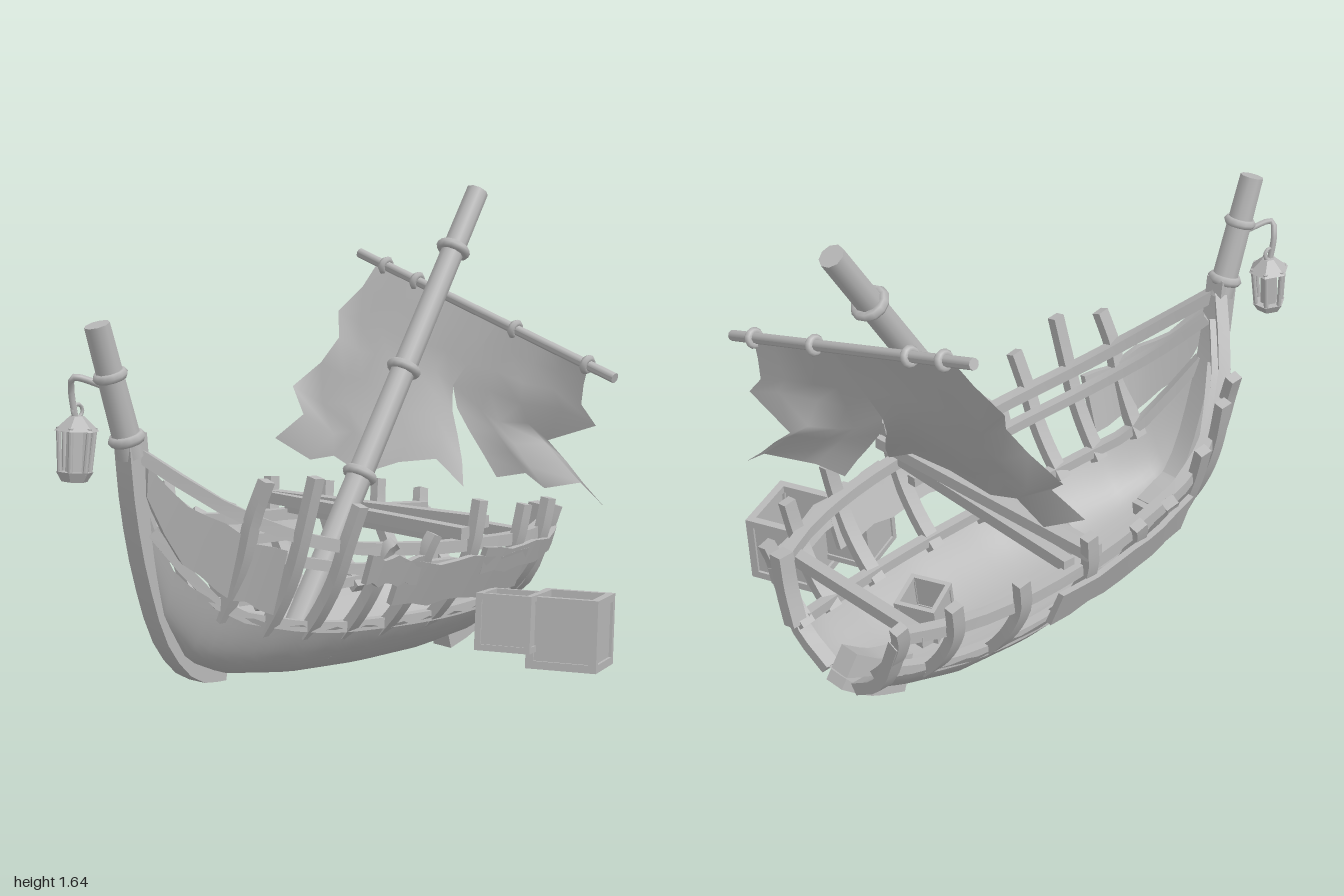
import * as THREE from 'three';
import { toCreasedNormals } from 'three/addons/utils/BufferGeometryUtils.js';

const V = (x, y, z) => new THREE.Vector3(x, y, z);
const lerp = THREE.MathUtils.lerp;
const MID = -0.145; // z of the boat's centreline

// Hull stations: x, keel height, rail height, half width
const STATIONS = [
  [-0.79, 0.76, 0.88, 0.015], [-0.75, 0.52, 0.83, 0.05], [-0.7, 0.34, 0.78, 0.11], [-0.6, 0.19, 0.7, 0.21],
  [-0.45, 0.125, 0.61, 0.31], [-0.2, 0.085, 0.54, 0.395], [0.1, 0.065, 0.5, 0.435], [0.4, 0.06, 0.48, 0.44],
  [0.65, 0.075, 0.46, 0.41], [0.85, 0.12, 0.45, 0.34], [0.98, 0.18, 0.45, 0.26],
];

// Point on the hull: h runs 0 at the keel to 1 at the rail
function hull(x, h, side, off = 0) {
  let i = 0;
  while (i < STATIONS.length - 2 && x > STATIONS[i + 1][0]) i++;
  const a = STATIONS[i], b = STATIONS[i + 1], t = (x - a[0]) / (b[0] - a[0]);
  const [k, r, w] = [1, 2, 3].map((j) => lerp(a[j], b[j], t));
  const ang = (h * Math.PI) / 2;
  return V(x, k + (r - k) * h ** 1.75 - off * Math.cos(ang), MID + side * (w * h ** 0.625 + off * Math.sin(ang)));
}

// Open surface from a rule
function grid(nu, nv, fn) {
  const pos = [], idx = [];
  for (let i = 0; i <= nu; i++) for (let j = 0; j <= nv; j++) pos.push(...fn(i / nu, j / nv, i, j).toArray());
  for (let i = 0; i < nu; i++) for (let j = 0; j < nv; j++) {
    const a = i * (nv + 1) + j, b = a + nv + 1;
    idx.push(a, a + 1, b, b, a + 1, b + 1);
  }
  const g = new THREE.BufferGeometry();
  g.setAttribute('position', new THREE.Float32BufferAttribute(pos, 3));
  g.setIndex(idx);
  g.computeVertexNormals();
  return g;
}

// Closed solid through four-cornered rings
function loft(rings) {
  const pts = rings.flat(), idx = [], n = rings.length;
  for (let i = 0; i < n - 1; i++) for (let j = 0; j < 4; j++) {
    const a = i * 4 + j, b = i * 4 + ((j + 1) % 4);
    idx.push(a, b, a + 4, b, b + 4, a + 4);
  }
  const e = (n - 1) * 4;
  idx.push(0, 2, 1, 0, 3, 2, e, e + 1, e + 2, e, e + 2, e + 3);
  let vol = 0;
  for (let i = 0; i < idx.length; i += 3) {
    const [a, b, c] = [0, 1, 2].map((k) => pts[idx[i + k]].clone().sub(pts[0]));
    vol += a.dot(b.cross(c));
  }
  if (vol < 0) idx.reverse();
  const g = new THREE.BufferGeometry().setFromPoints(pts);
  g.setIndex(idx);
  return toCreasedNormals(g, 0.7);
}

// Timber along a path: w is the size along ref, d across it
function timber(points, w, d, ref = V(0, 1, 0), taper = 1) {
  const curve = new THREE.CatmullRomCurve3(points), n = points.length > 2 ? points.length * 2 : 1;
  const rings = [];
  for (let i = 0; i <= n; i++) {
    const p = curve.getPoint(i / n), t = curve.getTangent(i / n);
    const s = ref.clone().addScaledVector(t, -t.dot(ref)).normalize(), m = t.clone().cross(s);
    const k = lerp(1, taper, i / n) / 2;
    rings.push([[1, 1], [-1, 1], [-1, -1], [1, -1]].map(([u, v]) =>
      p.clone().addScaledVector(s, u * w * k).addScaledVector(m, v * d * k)));
  }
  return loft(rings);
}

// Plank lying on the hull with a worn outline
function plank(side, x0, x1, h0, h1, off) {
  const rings = [], n = 8;
  for (let i = 0; i <= n; i++) {
    const x = lerp(x0, x1, i / n), a = h0 + 0.012 * Math.sin(i * 2.3), b = h1 + 0.012 * Math.sin(i * 1.7 + 1);
    rings.push([hull(x, a, side, off), hull(x, b, side, off), hull(x, b, side, off + 0.022), hull(x, a, side, off + 0.022)]);
  }
  return loft(rings);
}

function orient(mesh, a, b) {
  mesh.quaternion.setFromUnitVectors(V(0, 1, 0), b.clone().sub(a).normalize());
  return mesh;
}

export function createModel() {
  const wood = new THREE.MeshStandardMaterial({ color: 0xb8b8b8, side: THREE.DoubleSide });
  wood.name = 'plain grey';
  const boat = new THREE.Group();
  boat.name = 'wreckedBoat';
  const add = (name, geo, parent = boat) => {
    const m = new THREE.Mesh(geo, wood);
    m.name = name;
    parent.add(m);
    return m;
  };
  const rod = (name, a, b, r0, r1 = r0, parent = boat) => {
    const m = add(name, toCreasedNormals(new THREE.CylinderGeometry(r1, r0, a.distanceTo(b), 9), 0.9), parent);
    m.position.copy(a).lerp(b, 0.5);
    return orient(m, a, b);
  };
  const ropeRing = (name, a, b, t, r, tube) => {
    const m = add(name, new THREE.TorusGeometry(r, tube, 6, 12).rotateX(Math.PI / 2));
    m.position.copy(a).lerp(b, t);
    return orient(m, a, b);
  };

  // Lower hull skin with a broken upper edge, a little higher on the far side
  add('hullSkin', grid(40, 20, (u, v, i) => {
    const x = lerp(-0.785, 0.95, u), s = v * 2 - 1;
    const edge = (s < 0 ? 0.63 : 0.58) + 0.02 * Math.sin(i * 1.9) - 0.3 * Math.max(0, u - 0.8);
    return hull(x, Math.abs(s) * edge, Math.sign(s) || 1);
  }));

  // Rails, stringers, ribs and remaining planks on both sides
  const along = (x0, x1, h, side, off) => Array.from({ length: 10 }, (_, i) => hull(lerp(x0, x1, i / 9), h, side, off));
  const ribs = [[-0.55, 0.1], [-0.41, 0.17], [-0.26, 0.11], [-0.1, 0], [0.07, 0.03],
    [0.3, 0.13], [0.57, 0.1], [0.79, 0.1], [0.94, 0.05]];
  for (const side of [1, -1]) {
    add('rail', timber(along(-0.78, 0.95, 1, side, -0.01), 0.04, 0.04));
    add('innerRail', timber(along(-0.75, 0.3, 0.9, side, -0.03), 0.035, 0.035));
    add('stringer', timber(along(-0.74, 0.93, 0.57, side, -0.02), 0.035, 0.035));
    ribs.forEach(([x, rise], i) => {
      const pts = [[0.5, -0.02], [0.68, -0.005], [0.85, 0.01], [1, 0.015]].map(([h, off]) => hull(x - 0.02 + 0.03 * h, h, side, off));
      const end = pts[3].clone().add(V(0.02, rise * (side > 0 ? 1 : 0.85) + 0.02, side * (i < 3 ? 0.04 : 0.015)));
      add('rib' + (i + 1), timber([...pts, end], 0.05, 0.038, V(1, 0, 0), 0.9));
    });
    add('bowPlank', plank(side, -0.77, -0.44, 0.66, 0.93, -0.005));
    add('sternRib', timber([hull(0.93, 0.1, side, 0.01), hull(0.94, 0.5, side, 0.01), hull(0.95, 0.98, side, 0.01)], 0.05, 0.04, V(1, 0, 0)));
  }
  add('sternPlank', plank(1, 0.35, 0.97, 0.87, 0.98, 0.03));
  add('sidePlank', plank(1, -0.04, 0.62, 0.76, 0.95, 0.03));
  add('brokenPlank', plank(1, -0.18, 0.04, 0.86, 0.97, 0.03));
  add('farPlank', plank(-1, -0.18, 0.45, 0.8, 0.97, 0.03));
  add('cornerPost', timber([V(0.96, 0.27, 0.05), V(0.965, 0.4, 0.08), V(0.97, 0.52, 0.09)], 0.055, 0.05, V(1, 0, 0)));

  // Cross beams amidships and at the stern
  const beams = [[0.27, 0.53, 0.31, 0.3, 0.55, -0.62], [0.35, 0.56, 0.33, 0.32, 0.55, -0.62], [0.31, 0.5, 0.28, 0.37, 0.51, -0.57],
    [0.86, 0.42, 0.18, 0.87, 0.43, -0.47]];
  for (const [a, b, c, d, e, f] of beams) add('crossBeam', timber([V(a, b, c), V(d, e, f)], 0.04, 0.042));
  add('floorRib', timber([-0.52, -0.3, -0.1, 0, 0.1, 0.3, 0.52].map((h) => hull(-0.09, Math.abs(h), Math.sign(h) || 1, -0.012)), 0.05, 0.02, V(1, 0, 0)));
  add('breastHook', timber([-0.68, -0.6, -0.52, -0.45].map((x) => hull(x, 0, 1, -0.03)), 0.05, 0.07));

  // Stem, prow post and broken keel end
  add('stem', timber([V(-0.42, 0.135, MID), V(-0.53, 0.15, MID), V(-0.64, 0.26, MID), V(-0.72, 0.46, MID), V(-0.775, 0.7, MID),
    V(-0.8, 0.93, MID)], 0.07, 0.075, V(0, 0, 1)));
  const postA = V(-0.795, 0.86, MID), postB = V(-0.92, 1.27, MID - 0.01);
  rod('prowPost', postA, postB, 0.045, 0.04);
  ropeRing('prowRing', postA, postB, 0.14, 0.042, 0.018);
  ropeRing('prowRing', postA, postB, 0.62, 0.04, 0.016);
  add('keelEnd', timber([V(0.7, 0.068, MID), V(0.82, 0.105, MID + 0.01), V(0.93, 0.18, MID + 0.015)], 0.085, 0.135, V(0, 0, 1), 0.9));

  // Leaning mast and yard
  const mastA = V(-0.05, 0.19, MID - 0.01), mastB = V(0.92, 1.62, MID - 0.015);
  rod('mast', mastA, mastB, 0.048, 0.04);
  for (const t of [0.34, 0.58, 0.86]) ropeRing('mastRing', mastA, mastB, t, 0.045, 0.018);
  const yardA = V(0.75, 1.02, 0.56), yardB = V(0.78, 1.39, -0.59);
  rod('yard', yardA, yardB, 0.018);
  for (const t of [0.1, 0.37, 0.76, 0.89]) ropeRing('yardRing', yardA, yardB, t, 0.021, 0.014);

  // Torn sail in two flaps that share a seam until the tear begins
  const leftEdge = [0.45, 0.43, 0.42, 0.48, 0.28, 0.36, 0.43, 0.51];
  const rightEdge = [-0.5, -0.53, -0.6, -0.55, -0.59, -0.68, -0.58, -0.67];
  const seam = [0.06, 0.02, -0.03, -0.07, -0.04, 0.02, 0.08, 0.13];
  const hem = [[0.58, 0.65, 0.63, 0.67, 0.65], [0.64, 0.72, 0.7, 0.65, 0.7, 0.67, 0.74]];
  const flap = (edgeA, edgeB, ends, kA, kB, seamAtB) => grid(ends.length - 1, 7, (u, t, i, j) => {
    const z = lerp(edgeA[j], edgeB[j], u), topZ = lerp(edgeA[0], edgeB[0], u);
    const top = yardA.clone().lerp(yardB, (yardA.z - topZ) / (yardA.z - yardB.z));
    const open = Math.max(0, (t - 0.43) / 0.57), atSeam = lerp(0.55, seamAtB ? kB : kA, open);
    const k = seamAtB ? lerp(kA, atSeam, u) : lerp(atSeam, kB, u);
    const fold = 0.03 * Math.sin(u * 9) * t * (u > 0 && u < 1 ? 1 : 0);
    return V(top.x - 0.37 * k * t + fold, lerp(top.y, ends[i], t), z);
  });
  add('sailNarrowFlap', flap(leftEdge, seam, hem[0], -0.04, 0.25, true));
  add('sailWideFlap', flap(seam, rightEdge, hem[1], 0.75, 1, false));

  // Open crates: twelve bars, four walls and a floor
  const crate = (name, s, x, y, z, ry, rz) => {
    const g = new THREE.Group(), b = s * 0.11, c = s / 2 - b / 2;
    g.name = name;
    for (const u of [-c, c]) for (const v of [-c, c]) {
      add('crateBar', new THREE.BoxGeometry(s, b, b), g).position.set(0, u, v);
      add('crateBar', new THREE.BoxGeometry(b, s, b), g).position.set(u, 0, v);
      add('crateBar', new THREE.BoxGeometry(b, b, s), g).position.set(u, v, 0);
    }
    for (const u of [-c, c]) {
      add('crateWall', new THREE.BoxGeometry(s * 0.9, s * 0.9, 0.008), g).position.z = u;
      add('crateWall', new THREE.BoxGeometry(0.008, s * 0.9, s * 0.9), g).position.x = u;
    }
    add('crateFloor', new THREE.BoxGeometry(s * 0.9, 0.008, s * 0.9), g).position.y = -c;
    g.position.set(x, y, z);
    g.rotation.set(0, ry, rz);
    boat.add(g);
  };
  crate('largeCrate', 0.24, 0.567, 0.187, 0.525, 0.37, -0.08);
  crate('smallCrate', 0.19, 0.418, 0.225, 0.388, 0.36, -0.1);
  crate('innerCrate', 0.14, 0.6, 0.25, MID - 0.01, 0.4, -0.2);

  // Lantern on its bracket
  const hook = [V(-0.85, 1.06, MID), V(-0.9, 1.09, -0.18), V(-0.96, 1.11, -0.22), V(-0.95, 1.07, -0.24), V(-0.935, 0.98, -0.24)];
  add('lanternBracket', new THREE.TubeGeometry(new THREE.CatmullRomCurve3(hook), 14, 0.011, 6));
  const lantern = new THREE.Group();
  lantern.name = 'lantern';
  const disc = (name, r0, r1, h, y) => {
    add(name, toCreasedNormals(new THREE.CylinderGeometry(r1, r0, h, 6), 0.5), lantern).position.y = y;
  };
  disc('lanternBase', 0.04, 0.058, 0.03, -0.09);
  disc('lanternGlass', 0.03, 0.03, 0.13, -0.01);
  disc('lanternRoof', 0.07, 0.022, 0.045, 0.072);
  for (let i = 0; i < 6; i++) {
    const a = (i * Math.PI) / 3;
    rod('lanternBar', V(0.046 * Math.sin(a), -0.08, 0.046 * Math.cos(a)), V(0.056 * Math.sin(a), 0.06, 0.056 * Math.cos(a)), 0.008, 0.008, lantern);
  }
  const loop = add('lanternLoop', new THREE.TorusGeometry(0.02, 0.006, 6, 10), lantern);
  loop.position.y = 0.11;
  lantern.position.set(-0.935, 0.895, -0.24);
  lantern.rotation.z = -0.08;
  boat.add(lantern);

  return boat;
}
